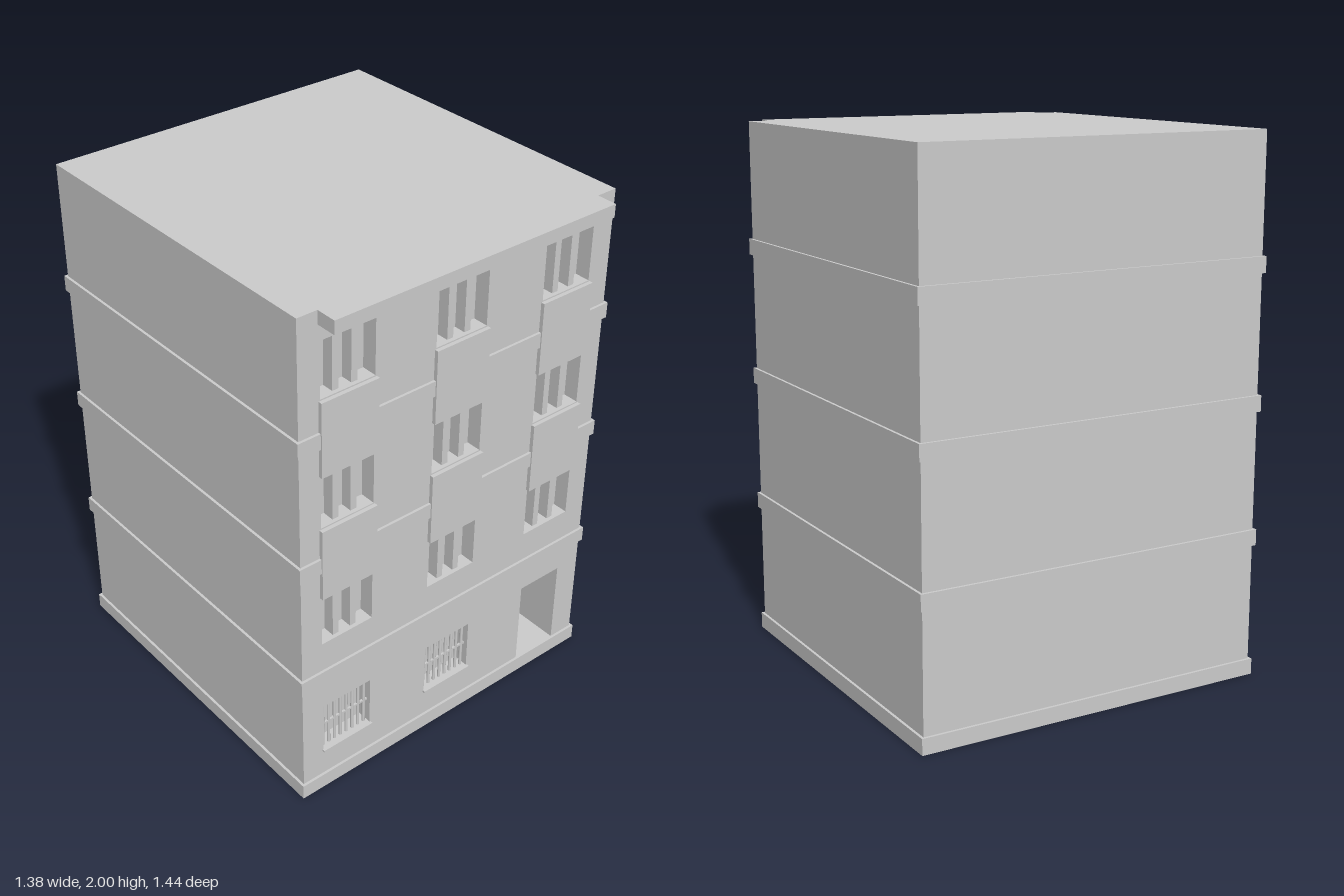
import * as THREE from 'three';

const material = new THREE.MeshStandardMaterial({ color: 0xcccccc, flatShading: true });
const smooth = new THREE.MeshStandardMaterial({ color: 0xcccccc });

const HALF = 0.68, BACK = -0.71, FRONT = 0.64, HEIGHT = 2;
const RECESS = 0.06;      // depth of the window niches
const DOOR_DEPTH = 0.4;   // depth of the entrance

function add(parent, name, geometry, mat = material) {
  const mesh = new THREE.Mesh(geometry, mat);
  mesh.name = name;
  parent.add(mesh);
  return mesh;
}

// Box given by its limits on each axis
function block(parent, name, x0, x1, y0, y1, z0, z1) {
  const mesh = add(parent, name, new THREE.BoxGeometry(x1 - x0, y1 - y0, z1 - z0));
  mesh.position.set((x0 + x1) / 2, (y0 + y1) / 2, (z0 + z1) / 2);
  return mesh;
}

function rectangle(PathType, x0, x1, y0, y1) {
  const p = new PathType();
  p.moveTo(x0, y0);
  p.lineTo(x1, y0);
  p.lineTo(x1, y1);
  p.lineTo(x0, y1);
  p.closePath();
  return p;
}

// Wall slab with rectangular openings
function wall(parent, name, openings, z0, z1) {
  const shape = rectangle(THREE.Shape, -HALF, HALF, 0, HEIGHT);
  for (const o of openings) shape.holes.push(rectangle(THREE.Path, ...o));
  const geometry = new THREE.ExtrudeGeometry(shape, { depth: z1 - z0, bevelEnabled: false });
  add(parent, name, geometry).position.z = z0;
}

export function createModel() {
  const building = new THREE.Group();
  building.name = 'building';

  const columns = [-0.482, -0.003, 0.478];
  const upperSills = [0.68, 1.18, 1.68];
  const door = [0.38, 0.575, 0.06, 0.41];
  const groundWindows = columns.slice(0, 2).map((x) => [x - 0.108, x + 0.108, 0.18, 0.385]);
  const upperWindows = upperSills.flatMap((y) => columns.map((x) => [x - 0.111, x + 0.111, y, y + 0.21]));

  // Main body: pierced facade, entrance passage, solid rear
  wall(building, 'facade', [door, ...groundWindows, ...upperWindows], FRONT - RECESS, FRONT);
  wall(building, 'entranceWall', [door], FRONT - DOOR_DEPTH, FRONT - RECESS);
  block(building, 'body', -HALF, HALF, 0, HEIGHT, BACK, FRONT - DOOR_DEPTH);

  // Base and floor bands
  for (const y of [0, 0.5, 1, 1.5]) {
    block(building, y ? 'floorBand' : 'base', -0.69, 0.69, y, y + 0.06, -0.72, 0.65);
  }

  // Cornice over the facade
  block(building, 'cornice', -0.6, 0.595, 1.95, HEIGHT, FRONT - 0.02, 0.72);

  // Upper windows: two mullions each
  for (const [x0, x1, y0, y1] of upperWindows) {
    const window = new THREE.Group();
    window.name = 'upperWindow';
    building.add(window);
    const x = (x0 + x1) / 2;
    for (const s of [-1, 1]) {
      block(window, 'mullion', x + s * 0.038 - 0.013, x + s * 0.038 + 0.013, y0, y1, FRONT - RECESS, FRONT - 0.015);
    }
  }

  // Spandrel panels between the upper windows
  for (const y of [0.89, 1.39]) {
    for (const x of columns) {
      block(building, 'spandrelPanel', x - 0.117, x + 0.117, y, y + 0.285, FRONT - 0.01, 0.655);
    }
  }

  // Ground windows: sill, round bars and two rails
  const bars = 8;
  for (const [x0, x1, y0, y1] of groundWindows) {
    const grille = new THREE.Group();
    grille.name = 'windowGrille';
    building.add(grille);
    block(grille, 'sill', x0 - 0.004, x1 + 0.004, y0 - 0.008, y0, FRONT - 0.02, 0.652);
    for (let i = 0; i < bars; i++) {
      const bar = add(grille, 'bar', new THREE.CylinderGeometry(0.006, 0.006, y1 - y0, 12), smooth);
      bar.position.set(x0 + ((i + 0.5) * (x1 - x0)) / bars, (y0 + y1) / 2, FRONT - 0.02);
    }
    for (const y of [0.282, y1 - 0.004]) {
      block(grille, 'rail', x0, x1, y - 0.004, y + 0.004, FRONT - 0.024, FRONT - 0.016);
    }
  }

  return building;
}
